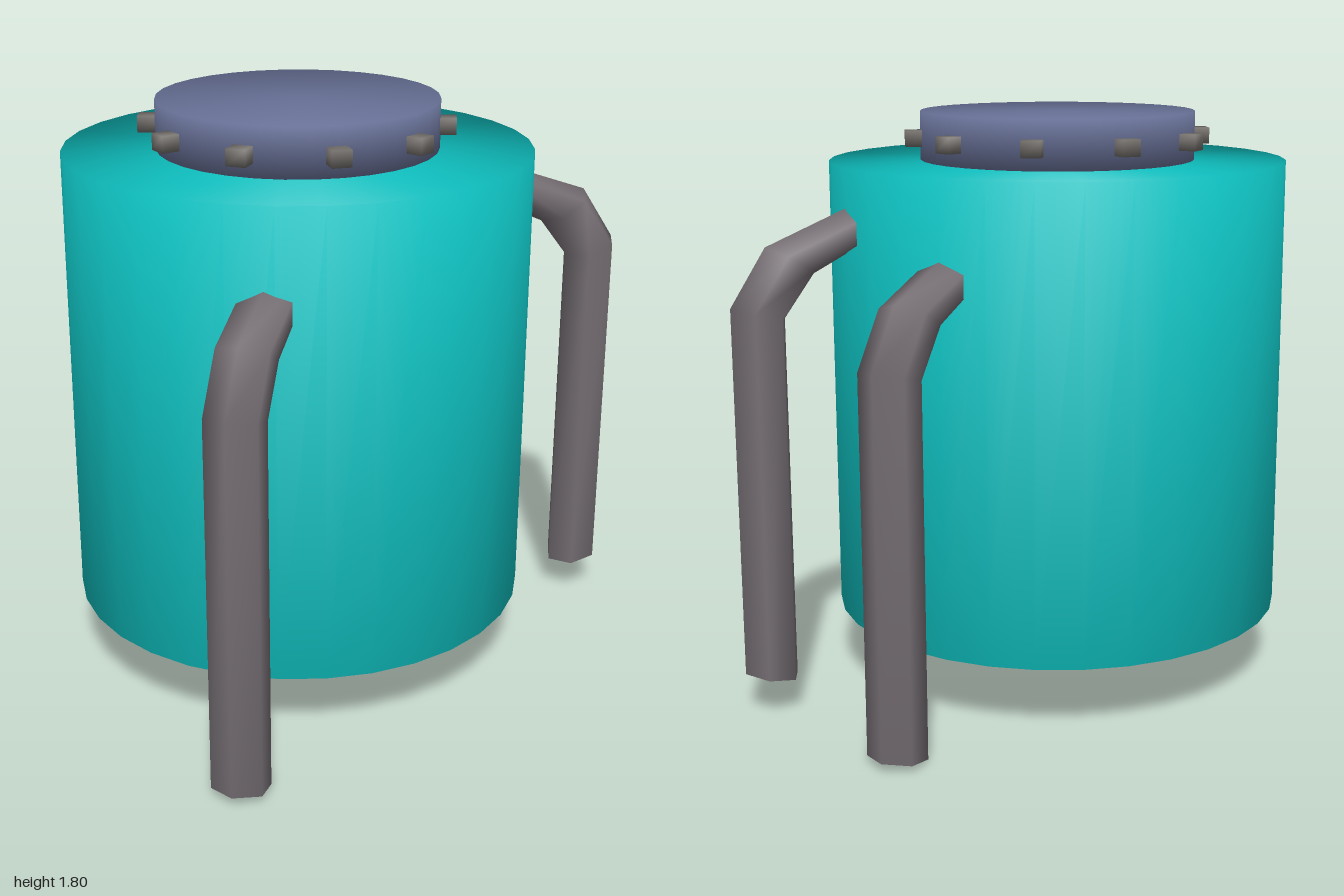
import * as THREE from 'three';
import { mergeVertices } from 'three/addons/utils/BufferGeometryUtils.js';

const CENTRE_X = -0.07;
const mat = (color) => new THREE.MeshStandardMaterial({ color });
const teal = mat(0x10c8c8), slate = mat(0x666f94), pipeGrey = mat(0x766f74), boltGrey = mat(0x77736f);

// Shares the corners so that normals are smooth over every edge
function smooth(geometry) {
  geometry.deleteAttribute('normal');
  geometry.deleteAttribute('uv');
  const g = mergeVertices(geometry, 1e-4);
  g.computeVertexNormals();
  return g;
}

function drum(name, radius, y0, y1, material) {
  const mesh = new THREE.Mesh(smooth(new THREE.CylinderGeometry(radius, radius, y1 - y0, 32)), material);
  mesh.name = name;
  mesh.position.set(CENTRE_X, (y0 + y1) / 2, 0);
  return mesh;
}

// Six-sided bent pipe; each section is [outer x, outer y, inner x, inner y]
function pipeGeometry() {
  const sections = [
    [0.086, 0.03, -0.086, 0],
    [0.086, 1.16, -0.086, 1.115],
    [-0.03, 1.33, -0.185, 1.24],
    [-0.39, 1.46, -0.34, 1.31],
  ];
  const sides = 6, pos = [], index = [];
  for (const [ox, oy, ix, iy] of sections) {
    for (let k = 0; k < sides; k++) {
      const a = (k / sides) * Math.PI * 2, c = Math.cos(a) / 2;
      pos.push((ox + ix) / 2 + (ox - ix) * c, (oy + iy) / 2 + (oy - iy) * c, 0.088 * Math.sin(a));
    }
  }
  const last = (sections.length - 1) * sides;
  for (let r = 0; r < last; r += sides) {
    for (let k = 0; k < sides; k++) {
      const n = (k + 1) % sides;
      index.push(r + k, r + sides + k, r + n, r + sides + k, r + sides + n, r + n);
    }
  }
  // End caps
  for (let k = 1; k < sides - 1; k++) {
    index.push(0, k, k + 1, last, last + k + 1, last + k);
  }
  const g = new THREE.BufferGeometry();
  g.setAttribute('position', new THREE.Float32BufferAttribute(pos, 3));
  g.setIndex(index);
  g.computeVertexNormals();
  return g;
}

export function createModel() {
  const model = new THREE.Group();
  model.name = 'tank';

  // Tank and lid
  model.add(drum('tankBody', 0.715, 0.22, 1.65, teal));
  model.add(drum('lid', 0.43, 1.63, 1.8, slate));

  // Bolts round the lid
  const bolts = new THREE.Group();
  bolts.name = 'lidBolts';
  const boltGeometry = smooth(new THREE.BoxGeometry(0.06, 0.05, 0.1));
  for (let i = 0; i < 10; i++) {
    const a = (i / 10) * Math.PI * 2;
    const bolt = new THREE.Mesh(boltGeometry, boltGrey);
    bolt.name = 'bolt';
    bolt.position.set(CENTRE_X - 0.005 + 0.43 * Math.sin(a), 1.717, 0.43 * Math.cos(a));
    bolt.rotation.y = a;
    bolts.add(bolt);
  }
  model.add(bolts);

  // Bent pipes: foot x, y, z and outward direction x, z
  const pipe = pipeGeometry();
  const legs = {
    leftPipe: [0.91, 0, 0.004, 1, 0],
    rightPipe: [-0.915, 0, 0.466, -0.925, 0.38],
    frontPipe: [0.775, 0.105, 0.547, 0.885, 0.47],
  };
  for (const [name, [x, y, z, dx, dz]] of Object.entries(legs)) {
    const mesh = new THREE.Mesh(pipe, pipeGrey);
    mesh.name = name;
    mesh.position.set(x, y, z);
    mesh.rotation.y = Math.atan2(-dz, dx);
    model.add(mesh);
  }
  return model;
}
